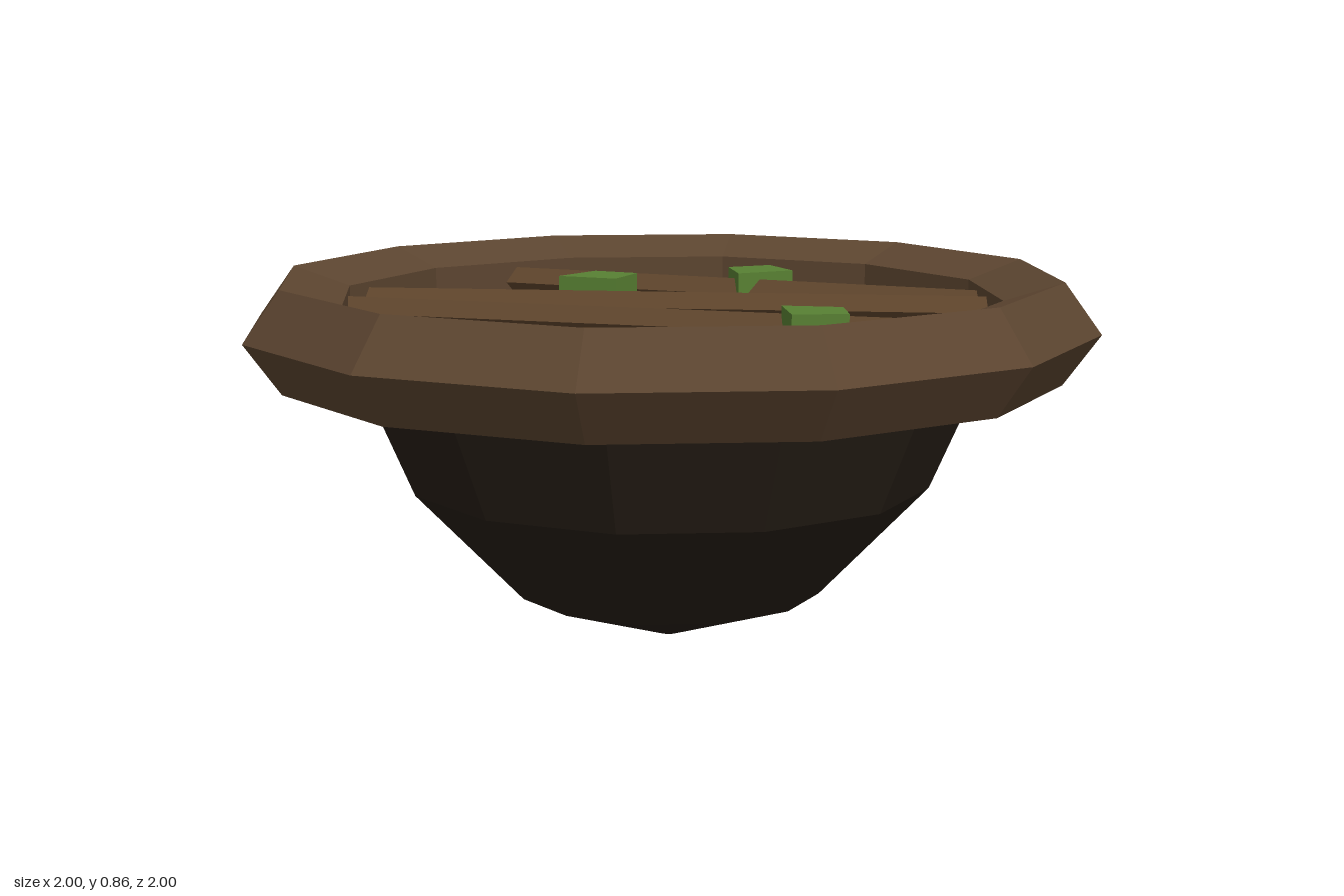
import * as THREE from 'three';

const mat = (color, side = THREE.FrontSide) =>
  new THREE.MeshStandardMaterial({ color, flatShading: true, side });

function part(group, name, geometry, material) {
  const mesh = new THREE.Mesh(geometry, material);
  mesh.name = name;
  group.add(mesh);
  return mesh;
}

export function createModel() {
  const model = new THREE.Group();
  model.name = 'nest';
  const SIDES = 12;
  const wood = mat(0x5c4530);
  const twigWood = mat(0x5f452c);
  const leafGreen = mat(0x588033);

  // Faceted bowl
  const profile = [[0, 0], [0.025, 0], [0.36, 0.11], [0.615, 0.375], [0.775, 0.743]]
    .map(([r, y]) => new THREE.Vector2(r, y));
  part(model, 'bowl', new THREE.LatheGeometry(profile, SIDES), mat(0x261e16, THREE.DoubleSide));

  // Thick five-sided rim
  part(model, 'rim', new THREE.TorusGeometry(0.876, 0.124, 5, SIDES).rotateX(Math.PI / 2), wood)
    .position.y = 0.743;

  // Flat floor inside the rim
  part(model, 'floor', new THREE.CircleGeometry(0.8, SIDES).rotateX(-Math.PI / 2),
    mat(0x2a2018, THREE.DoubleSide)).position.y = 0.745;

  // Twigs across the floor, from left end to right end: x0, z0, x1, z1
  const twigs = [
    [-0.54, -0.577, 0.75, -0.292],
    [-0.8, -0.092, 0.78, -0.197],
    [-0.81, 0.069, 0.78, 0.242],
    [-0.56, 0.572, 0.74, 0.342],
  ];
  for (const [x0, z0, x1, z1] of twigs) {
    const length = Math.hypot(x1 - x0, z1 - z0);
    const twig = part(model, 'twig',
      new THREE.CylinderGeometry(0.039, 0.039, length, 5).rotateZ(Math.PI / 2), twigWood);
    twig.position.set((x0 + x1) / 2, 0.765, (z0 + z1) / 2);
    twig.rotation.y = -Math.atan2(z1 - z0, x1 - x0);
  }

  // Leaves: one uneven four-cornered slab, turned three ways
  const outline = new THREE.Shape([[-0.043, 0.078], [-0.086, -0.067], [0.053, -0.067], [0.08, 0.045]]
    .map(([x, y]) => new THREE.Vector2(x, y)));
  const slab = new THREE.ExtrudeGeometry(outline, { depth: 0.05, bevelEnabled: false })
    .rotateX(Math.PI / 2);
  for (const [x, z, degrees] of [[0.14, -0.48, 250.5], [-0.22, -0.29, -62], [0.38, 0.27, 0]]) {
    const leaf = part(model, 'leaf', slab, leafGreen);
    leaf.position.set(x, 0.82, z);
    leaf.rotation.y = -THREE.MathUtils.degToRad(degrees);
  }
  return model;
}
